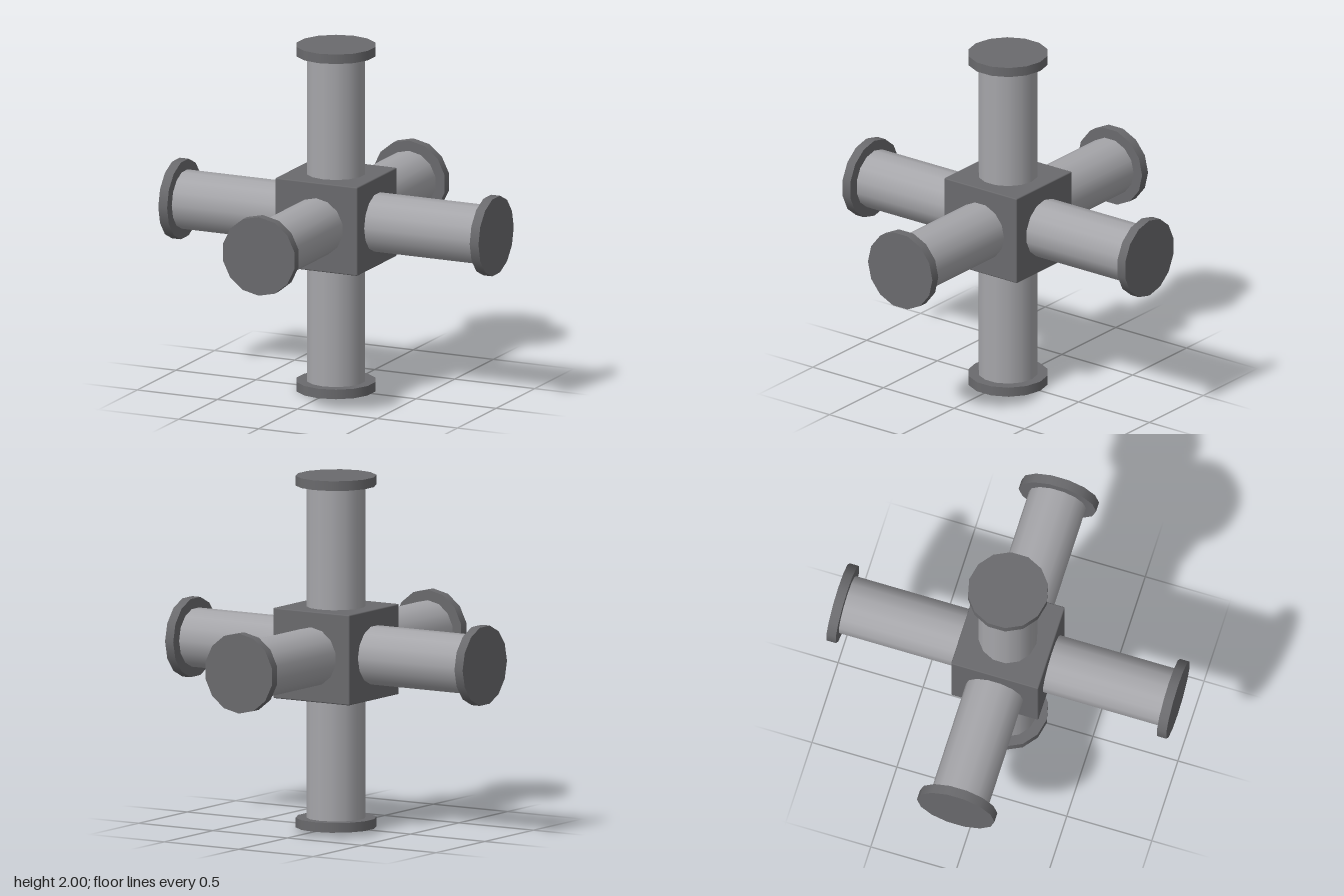
import * as THREE from 'three';
import { RoundedBoxGeometry } from 'three/addons/geometries/RoundedBoxGeometry.js';

const SIDES = 14;

export function createModel() {
  const model = new THREE.Group();
  model.name = 'sixWayPipeJunction';

  const pipeGrey = new THREE.MeshStandardMaterial({ color: 0xa6a6aa });
  pipeGrey.name = 'light pipe grey';
  const darkGrey = new THREE.MeshStandardMaterial({ color: 0x6a6a6d });
  darkGrey.name = 'dark fitting grey';

  // Central block with a fine bevel
  const hub = new THREE.Mesh(new RoundedBoxGeometry(0.514, 0.514, 0.514, 1, 0.007), darkGrey);
  hub.name = 'hub';
  hub.position.y = 1;
  model.add(hub);

  // One arm: an open tube from the hub, closed by a wider end flange
  const pipeGeometry = new THREE.CylinderGeometry(0.168, 0.168, 0.77, SIDES, 1, true);
  pipeGeometry.translate(0, 0.585, 0);
  const flangeGeometry = new THREE.CylinderGeometry(0.228, 0.228, 0.055, SIDES);
  flangeGeometry.translate(0, 0.9725, 0);

  function addArm(name, rotX, rotZ) {
    const arm = new THREE.Group();
    arm.name = name;
    const pipe = new THREE.Mesh(pipeGeometry, pipeGrey);
    pipe.name = 'pipe';
    const flange = new THREE.Mesh(flangeGeometry, darkGrey);
    flange.name = 'flange';
    arm.add(pipe, flange);
    arm.position.y = 1;
    arm.rotation.set(rotX, 0, rotZ);
    model.add(arm);
  }

  const quarter = Math.PI / 2;
  addArm('topArm', 0, 0);
  addArm('bottomArm', Math.PI, 0);
  addArm('frontArm', quarter, 0);
  addArm('backArm', -quarter, 0);
  addArm('leftArm', 0, -quarter);
  addArm('rightArm', 0, quarter);

  return model;
}
